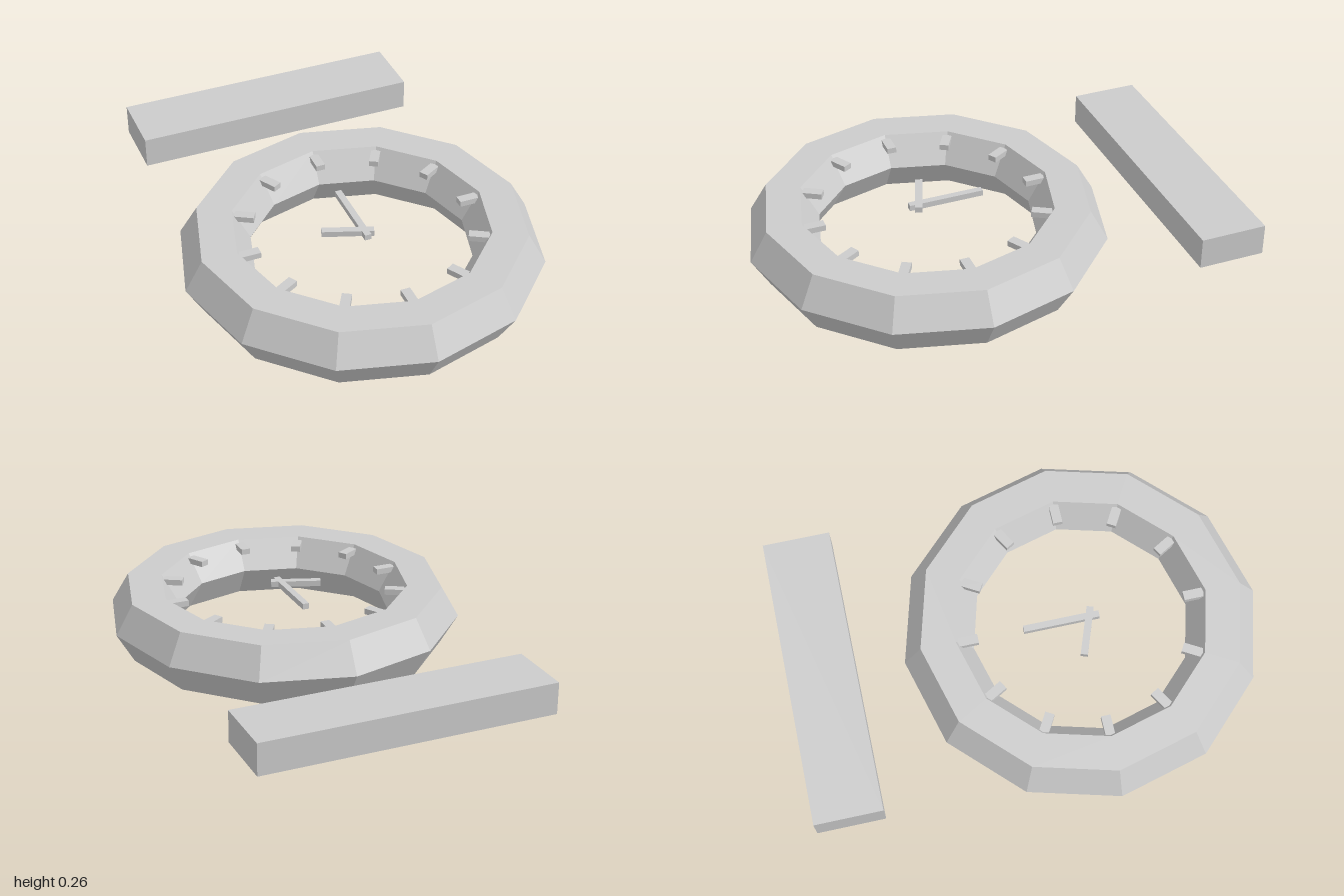
import * as THREE from 'three';

export function createModel() {
  const group = new THREE.Group();
  const mat = new THREE.MeshStandardMaterial({ color: 0xcccccc, flatShading: true });
  const cz = 0.245; // z of the ring's centre
  const faceY = 0.23; // height of ticks and hands

  const add = (name, geometry, x, y, z, turn = 0) => {
    const mesh = new THREE.Mesh(geometry, mat);
    mesh.name = name;
    mesh.position.set(x, y, z);
    mesh.rotation.y = turn;
    group.add(mesh);
    return mesh;
  };

  // Twelve-sided ring with a hexagonal section, lying flat
  const ring = new THREE.TorusGeometry(0.607, 0.148, 6, 12).rotateX(Math.PI / 2);
  add('clockRing', ring, 0, 0.128, cz);

  // Hour ticks at the corners of the ring
  const tick = new THREE.BoxGeometry(0.086, 0.025, 0.04);
  for (let i = 0; i < 12; i++) {
    const a = (i * Math.PI) / 6;
    add('hourTick', tick, 0.482 * Math.cos(a), faceY, cz - 0.482 * Math.sin(a), a);
  }

  // Hands
  add('minuteHand', new THREE.BoxGeometry(0.028, 0.025, 0.322), 0, faceY, 0.16);
  add('hourHand', new THREE.BoxGeometry(0.214, 0.025, 0.03), -0.063, faceY, 0.256, -0.345);

  // Separate bar behind the ring
  add('backBar', new THREE.BoxGeometry(1.246, 0.135, 0.286), 0, 0.1325, -0.857);

  return group;
}
